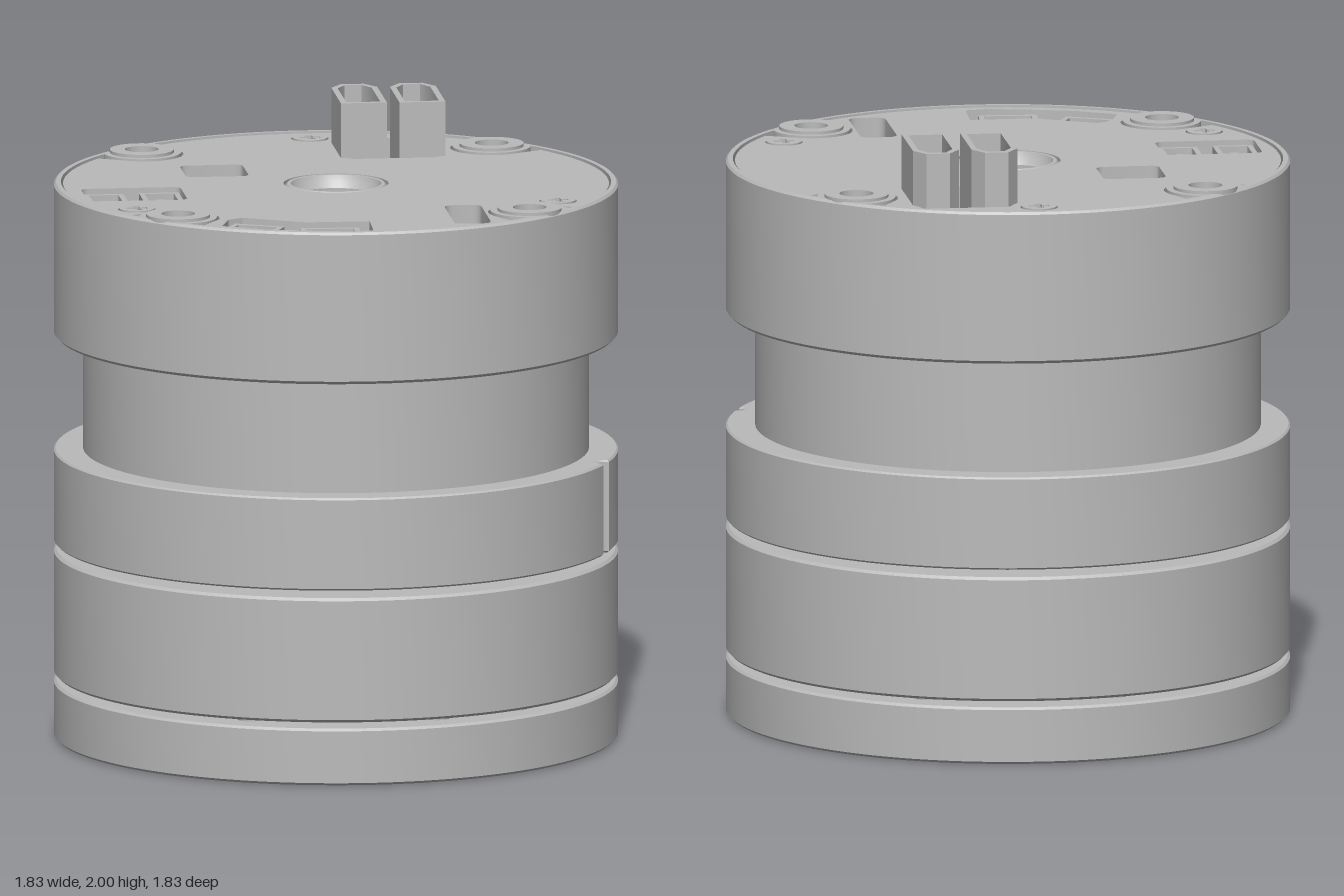
import * as THREE from 'three';
import { toCreasedNormals } from 'three/addons/utils/BufferGeometryUtils.js';

const grey = new THREE.MeshStandardMaterial({ color: 0xbababa, side: THREE.DoubleSide });
grey.name = 'metal grey';
const TAU = Math.PI * 2;
const TILT = 0.314;   // shared rotation of the board features
const BORE = 0.127;

export function createModel() {
  const model = new THREE.Group();
  model.name = 'motorDrive';

  const add = (name, geo, parent = model) => {
    const m = new THREE.Mesh(toCreasedNormals(geo, 0.5), grey);
    m.name = name;
    parent.add(m);
    return m;
  };
  // Outlines are lists of [x, z] points seen from above
  const circle = (x, z, r, n = 28) => Array.from({ length: n }, (_, i) =>
    [x + r * Math.cos(i / n * TAU), z + r * Math.sin(i / n * TAU)]);
  const place = (pts, x, z, a) => pts.map(([u, v]) =>
    [x + u * Math.cos(a) - v * Math.sin(a), z + u * Math.sin(a) + v * Math.cos(a)]);
  const roundRect = (x, z, w, h, a, r = 0.025) => {
    const pts = [];
    [[1, 1], [-1, 1], [-1, -1], [1, -1]].forEach(([sx, sz], k) => {
      for (let i = 0; i <= 4; i++) {
        const t = (k + i / 4) * Math.PI / 2;
        pts.push([sx * (w / 2 - r) + r * Math.cos(t), sz * (h / 2 - r) + r * Math.sin(t)]);
      }
    });
    return place(pts, x, z, a);
  };
  const vecs = pts => pts.map(([x, z]) => new THREE.Vector2(x, -z));
  // Flat slab between two heights, with holes and an optional chamfer
  const slab = (name, outline, y0, y1, holes = [], bevel = 0, parent = model) => {
    const shape = new THREE.Shape(vecs(outline));
    shape.holes = holes.map(h => new THREE.Path(vecs(h)));
    const geo = new THREE.ExtrudeGeometry(shape, {
      depth: y1 - y0 - 2 * bevel, bevelEnabled: bevel > 0, bevelThickness: bevel,
      bevelSize: bevel, bevelOffset: -bevel, bevelSegments: 1,
    });
    geo.rotateX(-Math.PI / 2).translate(0, y0 + bevel, 0);
    return add(name, geo, parent);
  };
  const lathe = (name, pts, n = 112) =>
    add(name, new THREE.LatheGeometry(pts.map(p => new THREE.Vector2(...p)), n));
  const polar = (a, r) => [r * Math.cos(a), r * Math.sin(a)];
  const cross = (x, z, s, a) => place([[-1, 3], [1, 3], [1, 1], [3, 1], [3, -1], [1, -1],
    [1, -3], [-1, -3], [-1, -1], [-3, -1], [-3, 1], [-1, 1]].map(p => p.map(c => c * s)), x, z, a);

  // Bottom flange with a ring of bolt holes and four screws
  const boltHoles = Array.from({ length: 8 }, (_, i) => polar(i * TAU / 8, 0.79));
  boltHoles.push(polar(1.19, 0.80));
  const lowScrews = [0, 1, 2, 3].map(i => polar(0.406 + i * TAU / 4, 0.79));
  slab('bottomFlange', circle(0, 0, 0.915, 112), 0.003, 0.19, [circle(0, 0, 0.165, 48),
    ...boltHoles.map(p => circle(...p, 0.05)), ...lowScrews.map(p => circle(...p, 0.078))], 0.008);
  slab('outputFace', circle(0, 0, 0.67, 96), 0, 0.02, [circle(0, 0, 0.165, 48)]);
  lowScrews.forEach(([x, z]) => {
    slab('bottomScrewHead', circle(x, z, 0.07), 0.004, 0.025, [cross(x, z, 0.013, 0.4)]);
    slab('bottomScrewCore', circle(x, z, 0.078), 0.025, 0.18);
  });

  // Hollow shaft running through every section
  lathe('hollowShaft', [[0.165, 0], [0.145, 0.02], [0.132, 0.05], [BORE, 0.09], [BORE, 1.78]], 48);

  // Lower housing ring and slim barrel
  const ring = (name, r, y0, y1, c) => lathe(name, [[BORE, y0], [r - c, y0], [r, y0 + c],
    [r, y1 - c], [r - c, y1], [BORE, y1]]);
  ring('lowerHousing', 0.915, 0.21, 0.62, 0.009);
  ring('barrel', 0.82, 0.94, 1.335, 0.002);

  // Middle ring with a rounded vertical groove
  const groove = 0.72, grooved = [];
  for (let i = 0; i <= 110; i++) grooved.push(polar(groove + 0.033 + i / 110 * (TAU - 0.066), 0.915));
  for (let i = 1; i < 10; i++) {
    const t = i / 10 * Math.PI;
    grooved.push(polar(groove - 0.033 * Math.cos(t), 0.915 - 0.03 * Math.sin(t)));
  }
  slab('middleRing', grooved, 0.645, 0.95, [circle(0, 0, BORE, 48)], 0.006);

  // Top housing cup
  lathe('topHousing', [[BORE, 1.325], [0.905, 1.325], [0.915, 1.335], [0.915, 1.818],
    [0.908, 1.826], [0.892, 1.826], [0.892, 1.72], [BORE, 1.72]]);

  // Bolt lugs around the rim
  const lugs = [[-0.36, -0.73], [0.72, -0.365], [-0.725, 0.358], [0.36, 0.725]];
  lugs.forEach(([x, z]) => {
    const hole = circle(x, z, 0.055);
    const body = circle(x, z, 0.127, 48).map(([px, pz]) => {
      const k = Math.min(1, 0.9 / Math.hypot(px, pz));
      return [px * k, pz * k];
    });
    slab('lug', body, 1.70, 1.826, [hole]);
    slab('lugBoss', circle(x, z, 0.104, 40), 1.82, 1.836, [hole]);
  });

  // Circuit cover, scalloped around the lugs and cut for the connectors
  const cover = [];
  for (let i = 0; i < 360; i++) {
    const a = i / 360 * TAU;
    let r = 0.885;
    lugs.forEach(([x, z]) => {
      const d = Math.hypot(x, z), off = a - Math.atan2(z, x);
      const q = 0.135 ** 2 - (d * Math.sin(off)) ** 2;
      if (q > 0 && Math.cos(off) > 0) r = Math.min(r, d * Math.cos(off) - Math.sqrt(q));
    });
    cover.push(polar(a, r));
  }
  const screws = [[0.25, -0.755], [-0.78, 0.155], [0.525, 0.585]];
  const sidePocket = [[-0.65, 0.54], [-0.585, 0.445], [-0.53, 0.435], [-0.375, 0.595],
    [-0.18, 0.66], [-0.235, 0.81], [-0.31, 0.80], [-0.43, 0.73], [-0.55, 0.65]];
  slab('circuitCover', cover, 1.72, 1.82, [
    circle(0, 0, 0.17, 48),
    ...screws.map(p => circle(...p, 0.061)),
    roundRect(0.41, -0.495, 0.30, 0.36, TILT),
    roundRect(-0.27, -0.36, 0.205, 0.205, TILT),
    roundRect(0.16, 0.68, 0.12, 0.33, TILT, 0.03),
    roundRect(-0.678, -0.09, 0.325, 0.225, TILT),
    sidePocket,
  ]);
  screws.forEach(([x, z]) => {
    slab('coverScrewHead', circle(x, z, 0.057), 1.80, 1.824, [cross(x, z, 0.011, 0.25)]);
    slab('coverScrewCore', circle(x, z, 0.061), 1.73, 1.80);
  });

  // Stepped collar around the bore
  lathe('boreCollar', [[0.165, 1.72], [0.165, 1.812], [0.158, 1.82], [0.147, 1.82],
    [0.14, 1.80], [BORE, 1.78]], 48);

  // Twin power sockets with bullet pins
  const power = [[-0.075, 0.165], [0.075, 0.165], [0.075, -0.115], [0.038, -0.175],
    [-0.038, -0.175], [-0.075, -0.115]];
  [[0.32, -0.53], [0.50, -0.467]].forEach(([x, z]) => {
    const socket = new THREE.Group();
    socket.name = 'powerSocket';
    model.add(socket);
    const outer = place(power, x, z, TILT);
    const inner = place(power.map(([u, v]) => [u * 0.74, v * 0.88]), x, z, TILT);
    slab('socketShell', outer, 1.72, 2.0, [inner], 0, socket);
    slab('socketFloor', inner, 1.72, 1.82, [], 0, socket);
    place([[0, -0.078], [0, 0.078]], x, z, TILT).forEach(([px, pz]) =>
      add('socketPin', new THREE.CapsuleGeometry(0.032, 0.1, 5, 14).translate(px, 1.87, pz), socket));
  });

  // Small signal connectors sunk in their pockets
  [[-0.765, -0.115, TILT + Math.PI / 2, 0.19, 0.13], [-0.59, -0.065, TILT + Math.PI / 2, 0.19, 0.13],
    [-0.54, 0.545, 0.76, 0.17, 0.12], [-0.335, 0.695, 0.38, 0.19, 0.12]].forEach(([x, z, a, w, d]) => {
    const plug = new THREE.Group();
    plug.name = 'signalConnector';
    model.add(plug);
    const inner = roundRect(x, z, w - 0.035, d - 0.035, a, 0.005);
    slab('connectorShell', roundRect(x, z, w, d, a, 0.005), 1.72, 1.805, [inner], 0, plug);
    slab('connectorFloor', inner, 1.72, 1.745, [], 0, plug);
    for (let i = -1; i <= 1; i++) {
      const [[px, pz]] = place([[i * 0.045, 0]], x, z, a);
      slab('connectorPin', roundRect(px, pz, 0.016, 0.03, a, 0.002), 1.74, 1.79, [], 0, plug);
    }
  });

  return model;
}
